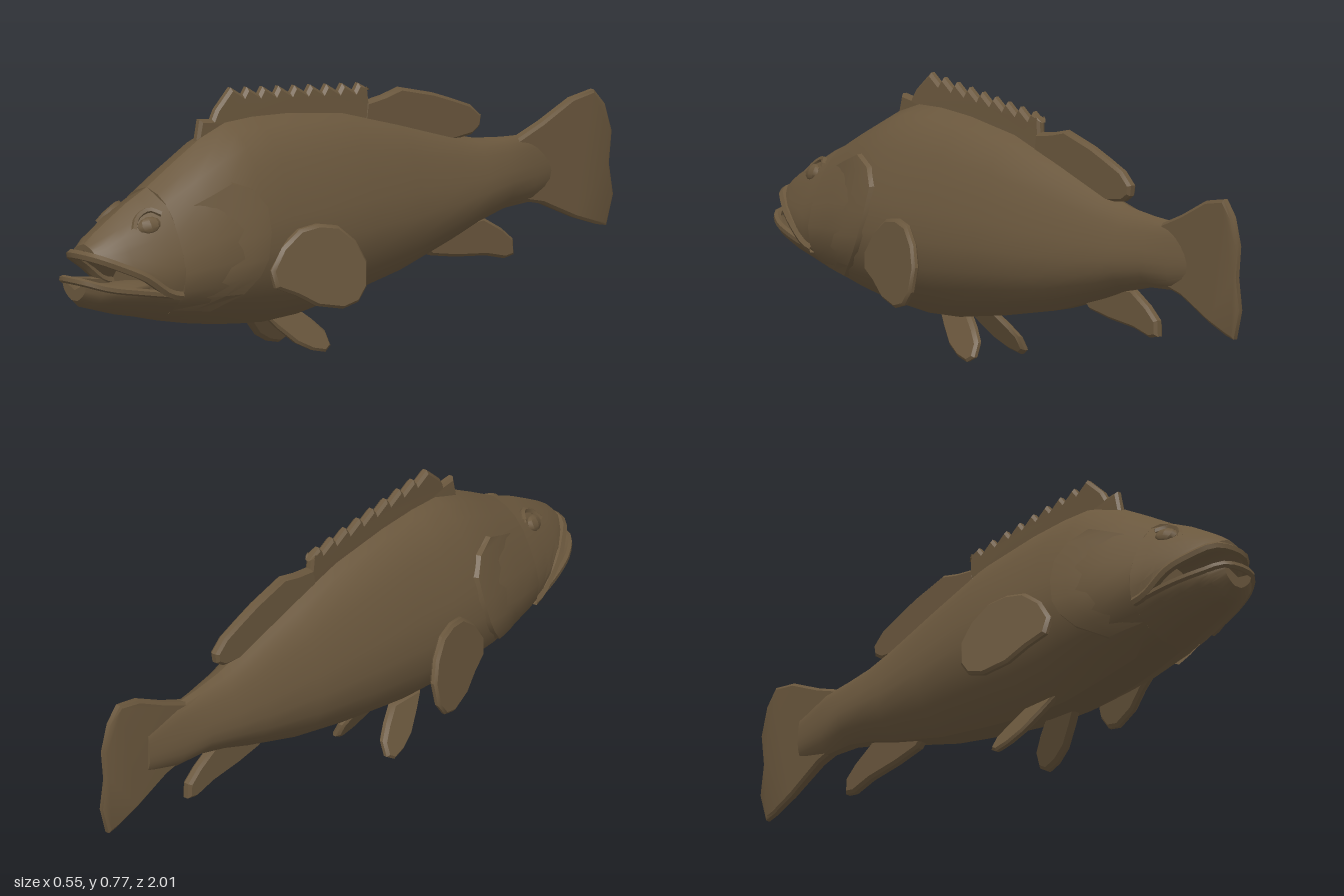
import * as THREE from 'three';
import { toCreasedNormals } from 'three/addons/utils/BufferGeometryUtils.js';

const V = (x, y, z) => new THREE.Vector3(x, y, z);

// Body stations: z, top, bottom, half width
const BODY = [
  [-0.82, 0.47, 0.35, 0.012], [-0.7, 0.505, 0.315, 0.04], [-0.6, 0.51, 0.31, 0.06], [-0.5, 0.52, 0.285, 0.08],
  [-0.4, 0.545, 0.25, 0.095], [-0.2, 0.605, 0.19, 0.13], [0, 0.66, 0.15, 0.163], [0.2, 0.683, 0.118, 0.18],
  [0.33, 0.688, 0.112, 0.19], [0.43, 0.683, 0.12, 0.198], [0.52, 0.65, 0.13, 0.2], [0.62, 0.595, 0.145, 0.187],
  [0.72, 0.537, 0.165, 0.165], [0.8, 0.5, 0.185, 0.145], [0.87, 0.46, 0.2, 0.125], [0.92, 0.43, 0.215, 0.105],
  [0.955, 0.405, 0.225, 0.085], [0.99, 0.385, 0.25, 0.05],
];
// Egg-shaped cross-section: height fraction, width fraction
const EGG = [[0, 0.25], [0.07, 0.55], [0.16, 0.8], [0.26, 0.95], [0.4, 1], [0.55, 0.92],
  [0.68, 0.8], [0.8, 0.66], [0.9, 0.48], [0.96, 0.28], [1, 0]];
// Edges of the open mouth: z, y
const UPPER_LIP = [[0.72, 0.25], [0.76, 0.26], [0.84, 0.315], [0.9, 0.345], [0.955, 0.37]];
const LOWER_LIP = [[0.72, 0.25], [0.85, 0.272], [0.94, 0.288], [0.99, 0.305]];

function look(table, k, col = 1) {
  let i = 1;
  while (i < table.length - 1 && table[i][0] < k) i++;
  const a = table[i - 1], b = table[i];
  return THREE.MathUtils.lerp(a[col], b[col], THREE.MathUtils.clamp((k - a[0]) / (b[0] - a[0]), 0, 1));
}

// Point on the skin at length z and height fraction f
function skin(z, f, side, lift = 0) {
  const top = look(BODY, z, 1), bottom = look(BODY, z, 2);
  return V(side * (look(EGG, f) * look(BODY, z, 3) + lift), bottom + f * (top - bottom), z);
}
const fraction = (z, y) => (y - look(BODY, z, 2)) / (look(BODY, z, 1) - look(BODY, z, 2));

// Joins rings (counter-clockwise from the front, ordered back to front)
function loft(rings, closed = true, capBack = false, capFront = false) {
  const pos = [], tri = (...pts) => pts.forEach((p) => pos.push(p.x, p.y, p.z));
  const n = rings[0].length, last = rings.length - 1;
  for (let i = 0; i < last; i++) {
    for (let j = 0; j < (closed ? n : n - 1); j++) {
      const k = (j + 1) % n, a = rings[i][j], b = rings[i][k], c = rings[i + 1][k], d = rings[i + 1][j];
      tri(a, b, d);
      tri(b, c, d);
    }
  }
  const cap = (ring, front) => {
    const mid = ring.reduce((s, p) => s.add(p), V(0, 0, 0)).divideScalar(n);
    ring.forEach((p, j) => (front ? tri(mid, p, ring[(j + 1) % n]) : tri(mid, ring[(j + 1) % n], p)));
  };
  if (capBack) cap(rings[0], false);
  if (capFront) cap(rings[last], true);
  const g = new THREE.BufferGeometry();
  g.setAttribute('position', new THREE.Float32BufferAttribute(pos, 3));
  return g;
}

// Plate outlined in z and y, then placed across x by a rule
function fin(outline, thick, place) {
  const bevel = Math.min(0.008, thick * 0.35);
  const g = new THREE.ExtrudeGeometry(new THREE.Shape(outline.map(([z, y]) => new THREE.Vector2(z, y))), {
    depth: thick - 2 * bevel, bevelEnabled: true, bevelThickness: bevel,
    bevelSize: bevel, bevelOffset: -bevel, bevelSegments: 1,
  });
  g.translate(0, 0, bevel - thick / 2).rotateY(-Math.PI / 2);
  const p = g.attributes.position;
  for (let i = 0; i < p.count; i++) p.setX(i, place(p.getX(i), p.getY(i), p.getZ(i)));
  return g;
}

export function createModel() {
  const group = new THREE.Group();
  const brown = new THREE.MeshStandardMaterial({ color: 0x6a573d, side: THREE.DoubleSide });
  brown.name = 'brown';
  const add = (name, geometry, crease = 0.5) => {
    const mesh = new THREE.Mesh(toCreasedNormals(geometry, crease), brown);
    mesh.name = name;
    group.add(mesh);
    return mesh;
  };

  // Trunk, from tail root to the back of the mouth
  add('body', loft(BODY.filter((s) => s[0] <= 0.72).map(([z]) => [
    ...EGG.map(([f]) => skin(z, f, 1)),
    ...EGG.slice(0, -1).reverse().map(([f]) => skin(z, f, -1)),
  ]), true, true, true));

  // Hollow jaws: outer skin and an arched inside
  const jawRing = (z, lip, upper) => {
    const fl = fraction(z, lip), steps = 7, ring = [];
    const at = (t) => (upper ? fl + (1 - fl) * t : fl * (1 - t));
    const first = upper ? 1 : -1;
    for (let i = 0; i <= steps; i++) ring.push(skin(z, at(i / steps), first));
    for (let i = steps; i >= 0; i--) ring.push(skin(z, at(i / steps), -first));
    const edge = ring[0], far = skin(z, at(1), 1).y;
    for (let i = 1; i < 8; i++) {
      const t = -1 + i / 4;
      ring.push(V(t * edge.x * 0.9, lip + (far - lip) * 0.55 * (1 - t * t), z));
    }
    return ring;
  };
  add('upperJaw', loft([0.72, 0.76, 0.8, 0.87, 0.92, 0.955].map((z) => jawRing(z, look(UPPER_LIP, z), true)), true, false, true));
  add('lowerJaw', loft([0.72, 0.8, 0.87, 0.92, 0.955, 0.99].map((z) => jawRing(z, look(LOWER_LIP, z), false)), true, false, true));

  // Lips follow the mouth edges
  const lip = (name, table, radius) => {
    const edge = (side) => table.map(([z, y]) => skin(z, fraction(z, y), side, -0.003));
    const path = new THREE.CatmullRomCurve3([...edge(1), ...edge(-1).reverse()]);
    add(name, new THREE.TubeGeometry(path, 26, radius, 6), 0.8);
  };
  lip('upperLip', UPPER_LIP, 0.014);
  lip('lowerLip', LOWER_LIP, 0.011);
  const tongue = add('tongue', new THREE.SphereGeometry(1, 10, 6), 0.8);
  tongue.scale.set(0.06, 0.018, 0.12);
  tongue.position.set(0, 0.262, 0.82);

  // Gill covers with a raised rear rim: height fraction, rim z
  const RIM = [[0.1, 0.6], [0.2, 0.52], [0.29, 0.475], [0.37, 0.45], [0.5, 0.432], [0.62, 0.43], [0.72, 0.465], [0.8, 0.53]];
  for (const side of [1, -1]) {
    const label = side > 0 ? 'left' : 'right';
    const columns = [[-0.012, -0.01], [0, 0.013], [0.06, 0.009], [0.14, -0.002]].map(([dz, lift]) => {
      const line = RIM.map(([f, z]) => skin(z + dz, f, side, lift));
      return side > 0 ? line : line.reverse();
    });
    add(label + 'GillCover', loft(columns, false));

    // Eye with a small brow
    const spot = skin(0.79, 0.83, side);
    const eye = add(label + 'Eye', new THREE.SphereGeometry(1, 8, 6), 0.6);
    eye.scale.set(0.014, 0.024, 0.036);
    eye.position.copy(spot);
    eye.rotation.set(0.2, -side * 0.25, side * 0.5);
    const brow = new THREE.CatmullRomCurve3([[0.835, 0.86], [0.81, 0.92], [0.77, 0.92], [0.745, 0.86]]
      .map(([z, f]) => skin(z, f, side, 0.002)));
    add(label + 'Brow', new THREE.TubeGeometry(brow, 8, 0.009, 5), 0.8);

    // Paired fins, swept outwards
    add(label + 'PectoralFin', fin([[0.43, 0.29], [0.39, 0.35], [0.33, 0.395], [0.27, 0.405], [0.21, 0.395], [0.16, 0.35],
      [0.132, 0.29], [0.14, 0.22], [0.17, 0.18], [0.22, 0.165], [0.3, 0.18], [0.36, 0.215], [0.42, 0.24]], 0.026,
    (x, y, z) => x + side * (0.18 + (0.4 - z) * 0.22 + (0.4 - y) * 0.15)));
    add(label + 'PelvicFin', fin([[0.31, 0.13], [0.27, 0.085], [0.22, 0.04], [0.17, 0.015], [0.125, 0.005], [0.1, 0.02],
      [0.105, 0.06], [0.14, 0.095], [0.19, 0.135]], 0.026,
    (x, y) => x - 0.022 + side * (0.045 + (0.12 - y) * 0.46)));
  }

  // Spiny front dorsal fin
  const spines = [[0.53, 0.63], [0.515, 0.7], [0.47, 0.695], [0.455, 0.72]];
  for (let i = 0; i < 9; i++) {
    const z = 0.395 - i * 0.058, y = 0.775 - i * 0.0055;
    spines.push([z, y], [z - 0.042, y - 0.026]);
  }
  spines.push([-0.1, 0.71], [-0.11, 0.62], [0.1, 0.64], [0.35, 0.65]);
  const centre = (x, y, z) => x - 0.02 * z - 0.003;
  add('spinyDorsalFin', fin(spines, 0.028, (x, y, z) => centre(x, y, z) - Math.max(0, y - 0.68) * 0.08));

  // Soft rear dorsal fin
  add('softDorsalFin', fin([[-0.08, 0.61], [-0.09, 0.675], [-0.16, 0.685], [-0.22, 0.7], [-0.34, 0.67], [-0.41, 0.645],
    [-0.475, 0.62], [-0.515, 0.585], [-0.51, 0.555], [-0.48, 0.535], [-0.4, 0.525], [-0.2, 0.58]], 0.03, centre));

  // Fin under the tail
  add('analFin', fin([[-0.3, 0.24], [-0.33, 0.21], [-0.42, 0.195], [-0.53, 0.185], [-0.6, 0.168], [-0.635, 0.175],
    [-0.632, 0.22], [-0.59, 0.255], [-0.52, 0.295], [-0.4, 0.28]], 0.03, centre));

  // Tail fin, thinner towards its edge
  add('tailFin', fin([[-0.63, 0.49], [-0.74, 0.535], [-0.85, 0.59], [-0.93, 0.605], [-0.97, 0.56], [-0.995, 0.48],
    [-0.985, 0.39], [-1, 0.3], [-0.975, 0.215], [-0.94, 0.222], [-0.86, 0.25], [-0.74, 0.305], [-0.63, 0.33]], 0.04,
  (x, y, z) => x * (0.5 + (z + 1) * 1.3) + 0.018 * Math.max(0, -z - 0.6) / 0.4));

  return group;
}
